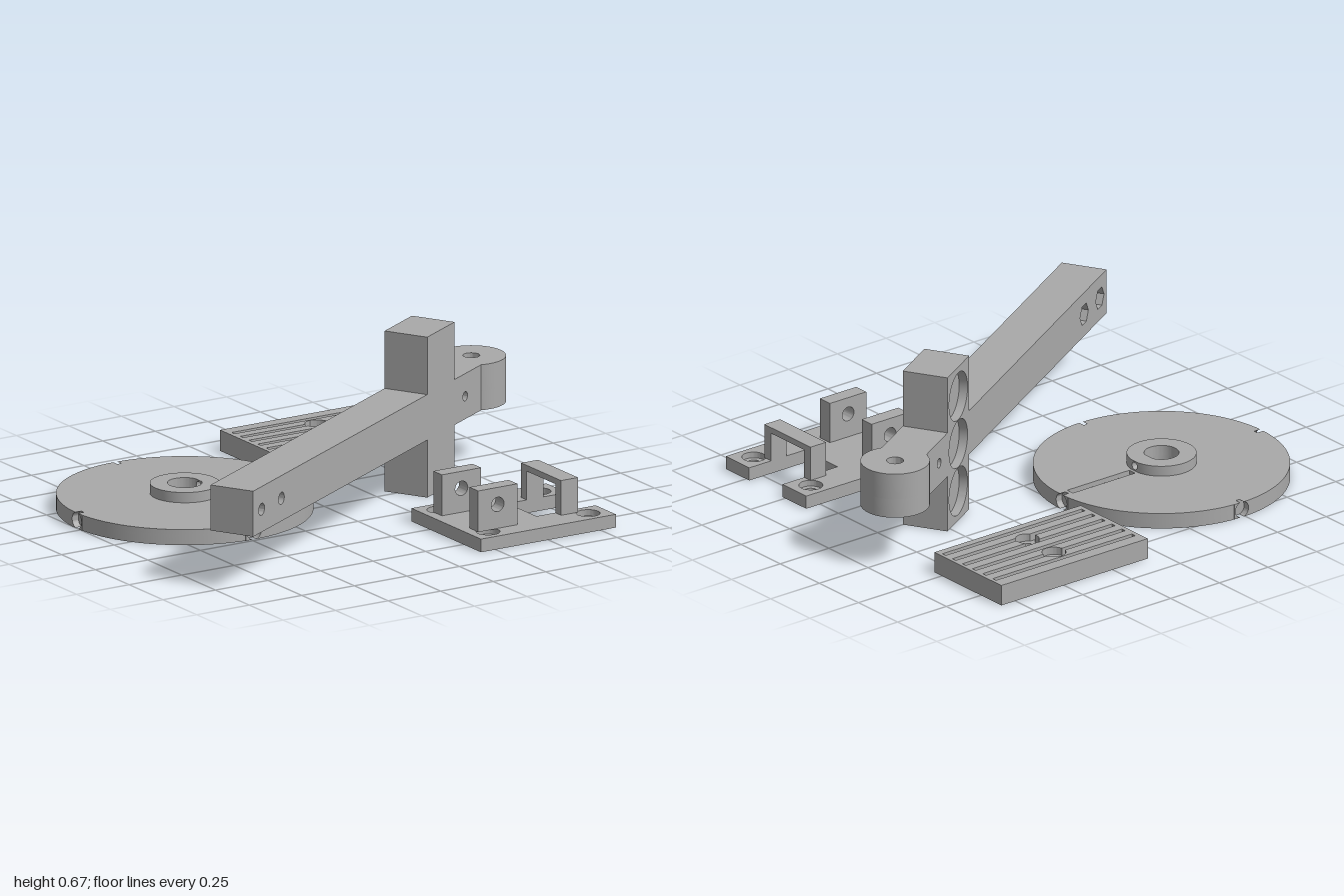
import * as THREE from 'three';
import { toCreasedNormals } from 'three/addons/utils/BufferGeometryUtils.js';

const grey = new THREE.MeshStandardMaterial({ color: 0xa9a9a9 });
grey.name = 'plastic grey';

function add(parent, name, geometry) {
  const mesh = new THREE.Mesh(geometry, grey);
  mesh.name = name;
  parent.add(mesh);
  return mesh;
}

function group(parent, name, x, y, z) {
  const g = new THREE.Group();
  g.name = name;
  g.position.set(x, y, z);
  parent.add(g);
  return g;
}

// Extrusion along z, from z0 to z1
function extrude(shape, z0, z1) {
  const geo = new THREE.ExtrudeGeometry(shape, { depth: z1 - z0, bevelEnabled: false, curveSegments: 32 });
  return toCreasedNormals(geo.translate(0, 0, z0), 0.5);
}

// Horizontal slab: the shape is drawn in x and z, from y0 to y1
const slab = (shape, y0, y1) => extrude(shape, -y1, -y0).rotateX(Math.PI / 2);

function box(parent, name, x0, x1, y0, y1, z0, z1) {
  const geo = new THREE.BoxGeometry(x1 - x0, y1 - y0, z1 - z0);
  return add(parent, name, geo.translate((x0 + x1) / 2, (y0 + y1) / 2, (z0 + z1) / 2));
}

const poly = (points) => new THREE.Shape(points.map(([x, y]) => new THREE.Vector2(x, y)));
const rect = (x0, x1, y0, y1) => poly([[x0, y0], [x1, y0], [x1, y1], [x0, y1]]);
const circle = (x, y, r) => new THREE.Shape().absarc(x, y, r, 0, Math.PI * 2);
const hexagon = (x, y, r) => poly([0, 1, 2, 3, 4, 5].map((i) =>
  [x + r * Math.cos(i * Math.PI / 3), y + r * Math.sin(i * Math.PI / 3)]));

function withHoles(shape, holes) {
  shape.holes.push(...holes);
  return shape;
}

// Round disk with rim sockets, a wire groove and a hub
function buildDisk(root) {
  const disk = group(root, 'disk', -0.485, 0, -0.278);
  const R = 0.515, inner = 0.485, w = 0.04, h = 0.065;

  function outline() {
    const s = new THREE.Shape(), da = Math.asin(w / R);
    for (let i = 0; i < 4; i++) {
      const a = i * Math.PI / 2, c = Math.cos(a), n = Math.sin(a);
      const p = [inner * c + w * n, inner * n - w * c];
      if (i === 0) s.moveTo(...p); else s.lineTo(...p);
      s.lineTo(inner * c - w * n, inner * n + w * c);
      s.absarc(0, 0, R, a + da, a + Math.PI / 2 - da);
    }
    return s;
  }
  const bore = circle(0, 0, 0.07);
  add(disk, 'diskBase', slab(withHoles(outline(), [bore]), 0, 0.045));
  add(disk, 'diskTop', slab(withHoles(outline(), [bore, rect(0.15, 0.47, -0.018, 0.018)]), 0.045, h));

  // Two cheeks around each round socket, which just breaks through above and below
  const r = 0.0338, t = Math.asin(h / 2 / r);
  const cheek = poly([[w, -h / 2], [w, h / 2], [r * Math.cos(t), h / 2]]);
  cheek.absarc(0, 0, r, t, -t, true);
  for (let i = 0; i < 4; i++) {
    const socket = group(disk, 'rimSocket', 0, h / 2, 0);
    socket.rotation.y = i * Math.PI / 2;
    for (const turn of [0, Math.PI]) {
      add(socket, 'socketCheek', extrude(cheek, inner, R - 0.001).rotateZ(turn));
    }
  }

  // Hub ring, with a small radial hole on the groove side
  const go = Math.asin(0.025 / 0.14), gi = Math.asin(0.025 / 0.07);
  const ring = new THREE.Shape();
  ring.absarc(0, 0, 0.14, go, Math.PI * 2 - go);
  ring.absarc(0, 0, 0.07, Math.PI * 2 - gi, gi, true);
  add(disk, 'hubRing', slab(ring, h, 0.108));
  const plug = withHoles(rect(-0.025, 0.025, -0.0215, 0.0215), [circle(0, 0, 0.016)]);
  add(disk, 'hubWireHole', extrude(plug, 0.0655, 0.1385).rotateY(Math.PI / 2).translate(0, 0.0865, 0));
}

// Grooved plate with two counterbored holes
function buildPlate(root) {
  const plate = group(root, 'groovedPlate', 0, 0, 0);
  const x0 = 0.07, x1 = 0.822, z0 = -0.88, z1 = -0.452, xc = 0.446, floor = 0.055, top = 0.087;
  const holeZ = [-0.749, -0.578];
  add(plate, 'plateBase', slab(withHoles(rect(x0, x1, z0, z1), holeZ.map((z) => circle(xc, z, 0.026))), 0, floor));
  box(plate, 'plateEnd', x0, 0.09, floor, top, z0, z1);
  box(plate, 'plateEnd', 0.806, x1, floor, top, z0, z1);

  // Ribs between the grooves, cut back around the counterbores
  const gap = (z) => Math.max(...holeZ.map((c) => Math.sqrt(Math.max(0, 0.048 ** 2 - (z - c) ** 2))));
  for (let i = 0; i <= 6; i++) {
    const a = i === 0 ? z0 : -0.815 + (i - 1) * 0.0642 + 0.0105;
    const b = i === 6 ? z1 : -0.815 + i * 0.0642 - 0.0105;
    for (const side of [-1, 1]) {
      const end = side < 0 ? 0.09 : 0.806;
      const pts = [[end, b], [end, a]];
      for (let k = 0; k <= 16; k++) {
        const z = a + (b - a) * k / 16;
        pts.push([xc + side * gap(z), z]);
      }
      add(plate, 'plateRib', slab(poly(pts), floor, top));
    }
  }
}

// Bracket with two pierced lugs and a gate
function buildBracket(root) {
  const bracket = group(root, 'bracket', 0, 0, 0);
  const outline = () => poly([[0.18, 0.366], [0.822, 0.366], [0.822, 0.518], [0.54, 0.518],
    [0.54, 0.73], [0.822, 0.73], [0.822, 0.88], [0.18, 0.88]]);
  const holes = (r) => [0.262, 0.738].flatMap((x) => [0.441, 0.805].map((z) => circle(x, z, r)));
  add(bracket, 'bracketBase', slab(withHoles(outline(), holes(0.026)), 0, 0.03));
  add(bracket, 'bracketTop', slab(withHoles(outline(), holes(0.048)), 0.03, 0.055));
  for (const z of [0.457, 0.725]) {
    const lug = withHoles(rect(0.225, 0.412, 0.054, 0.226), [circle(0.318, 0.155, 0.03)]);
    add(bracket, 'lug', extrude(lug, z, z + 0.064));
  }
  const gate = poly([[-0.773, 0.054], [-0.73, 0.054], [-0.73, 0.175], [-0.518, 0.175],
    [-0.518, 0.054], [-0.478, 0.054], [-0.478, 0.2], [-0.773, 0.2]]);
  add(bracket, 'gate', extrude(gate, 0.63, 0.71).rotateY(Math.PI / 2));
}

// Slanting arm with an upright block and a round pivot end
function buildArm(root) {
  const arm = group(root, 'arm', -0.952, 0, 0.797);
  arm.rotation.y = Math.PI / 6;
  const y0 = 0.24, y1 = 0.43, ym = 0.335, s0 = 1.521, s1 = 1.76, end = 2.0, half = 0.096;
  const outline = () => poly([[0, y0], [s0, y0], [s0, 0], [s1, 0], [s1, y0], [end, y0],
    [end, y1], [s1, y1], [s1, 0.67], [s0, 0.67], [s0, y1], [0, y1]]);
  const bolts = [0.074, 0.247], pin = circle(1.853, ym, 0.02);
  add(arm, 'armFront', extrude(withHoles(outline(),
    [pin, ...bolts.map((s) => circle(s, ym, 0.025))]), -0.06, half));
  // Rear layer with nut recesses and three round pockets
  add(arm, 'armBack', extrude(withHoles(outline(), [pin,
    ...bolts.map((s) => hexagon(s, ym, 0.046)),
    ...[-1, 0, 1].map((k) => circle((s0 + s1) / 2, ym + k * 0.207, 0.102))]), -half, -0.06));

  const px = 2.093;
  add(arm, 'pivotTop', slab(withHoles(circle(px, 0, 0.139), [circle(px, 0, 0.034)]), 0.32, y1));
  add(arm, 'pivotBottom', slab(withHoles(circle(px, 0, 0.139), [hexagon(px, 0, 0.064)]), y0, 0.32));
}

export function createModel() {
  const root = new THREE.Group();
  root.name = 'mechanicalParts';
  buildDisk(root);
  buildPlate(root);
  buildBracket(root);
  buildArm(root);
  return root;
}
